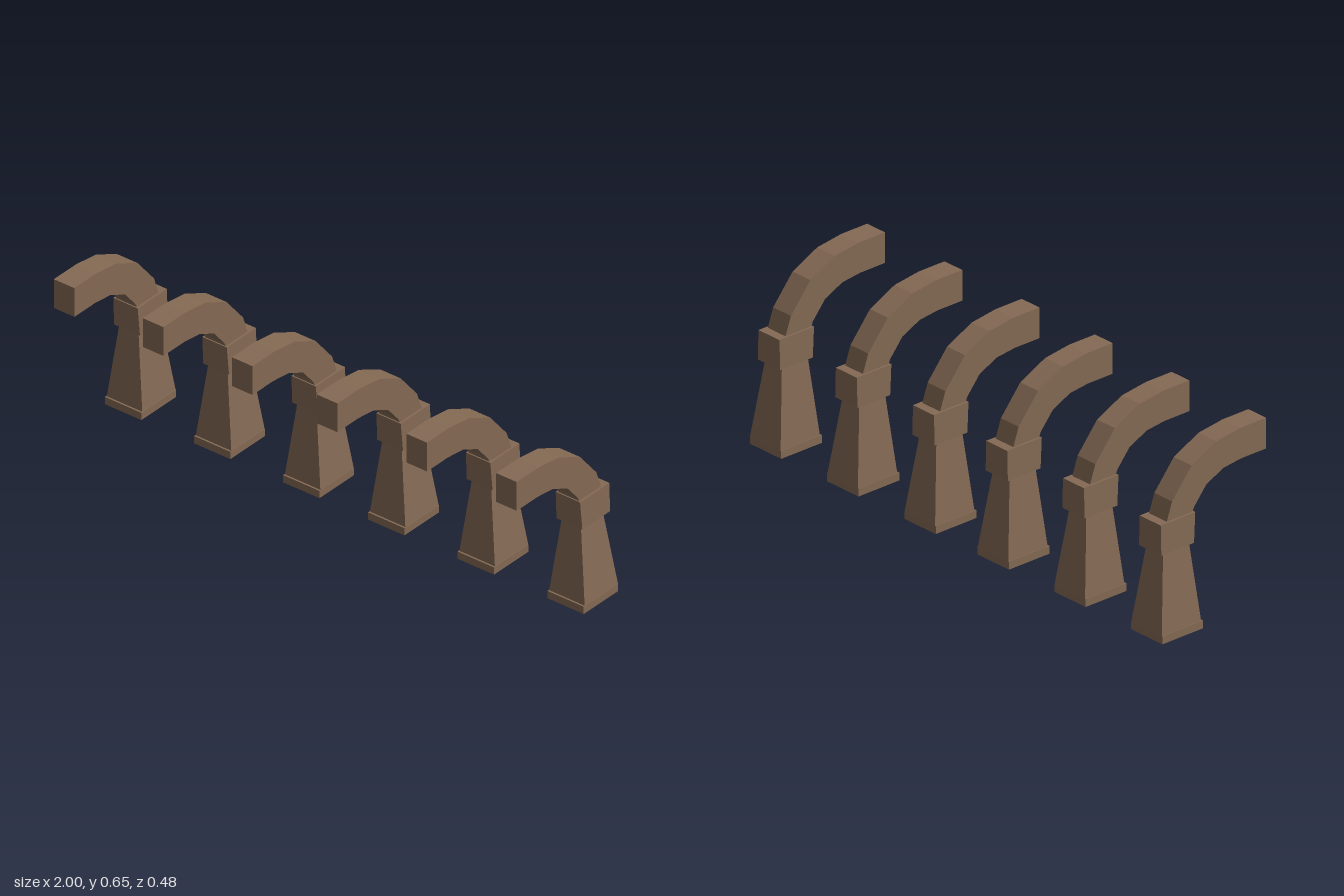
import * as THREE from 'three';

const stone = new THREE.MeshStandardMaterial({ color: 0x856a54 });
stone.name = 'brown stone';

// Four-sided block; each end is [y, half width, back z, front z]
function taperedBlock(name, bottom, top) {
  const geo = new THREE.BoxGeometry(1, 1, 1).toNonIndexed();
  const p = geo.attributes.position;
  for (let i = 0; i < p.count; i++) {
    const [y, half, back, front] = p.getY(i) < 0 ? bottom : top;
    p.setXYZ(i, Math.sign(p.getX(i)) * half, y, p.getZ(i) < 0 ? back : front);
  }
  geo.computeVertexNormals();
  const mesh = new THREE.Mesh(geo, stone);
  mesh.name = name;
  return mesh;
}

// Curved arm: side outline in (z, y), extruded across x
function curvedArm() {
  const outline = [
    [0.243, 0.649], [0.13, 0.649], [0.025, 0.635], [-0.083, 0.583], [-0.168, 0.481], [-0.195, 0.405],
    [-0.083, 0.405], [-0.072, 0.43], [-0.018, 0.494], [0.057, 0.529], [0.135, 0.538], [0.243, 0.538],
  ];
  const shape = new THREE.Shape(outline.map(([z, y]) => new THREE.Vector2(z, y)));
  const width = 0.086;
  const geo = new THREE.ExtrudeGeometry(shape, { depth: width, bevelEnabled: false });
  geo.translate(0, 0, -width / 2);
  geo.rotateY(-Math.PI / 2);
  const mesh = new THREE.Mesh(geo, stone);
  mesh.name = 'curvedArm';
  return mesh;
}

export function createModel() {
  const model = new THREE.Group();
  model.name = 'archedSupports';
  // Row of six matching supports
  [-0.924, -0.552, -0.18, 0.175, 0.549, 0.924].forEach((x, i) => {
    const support = new THREE.Group();
    support.name = `support${i + 1}`;
    support.add(
      taperedBlock('base', [0, 0.076, -0.24, -0.062], [0.028, 0.076, -0.24, -0.062]),
      taperedBlock('shaft', [0.028, 0.074, -0.241, -0.069], [0.309, 0.04, -0.205, -0.092]),
      taperedBlock('collar', [0.307, 0.054, -0.225, -0.082], [0.415, 0.051, -0.225, -0.074]),
      curvedArm(),
    );
    support.position.x = x;
    model.add(support);
  });
  return model;
}
